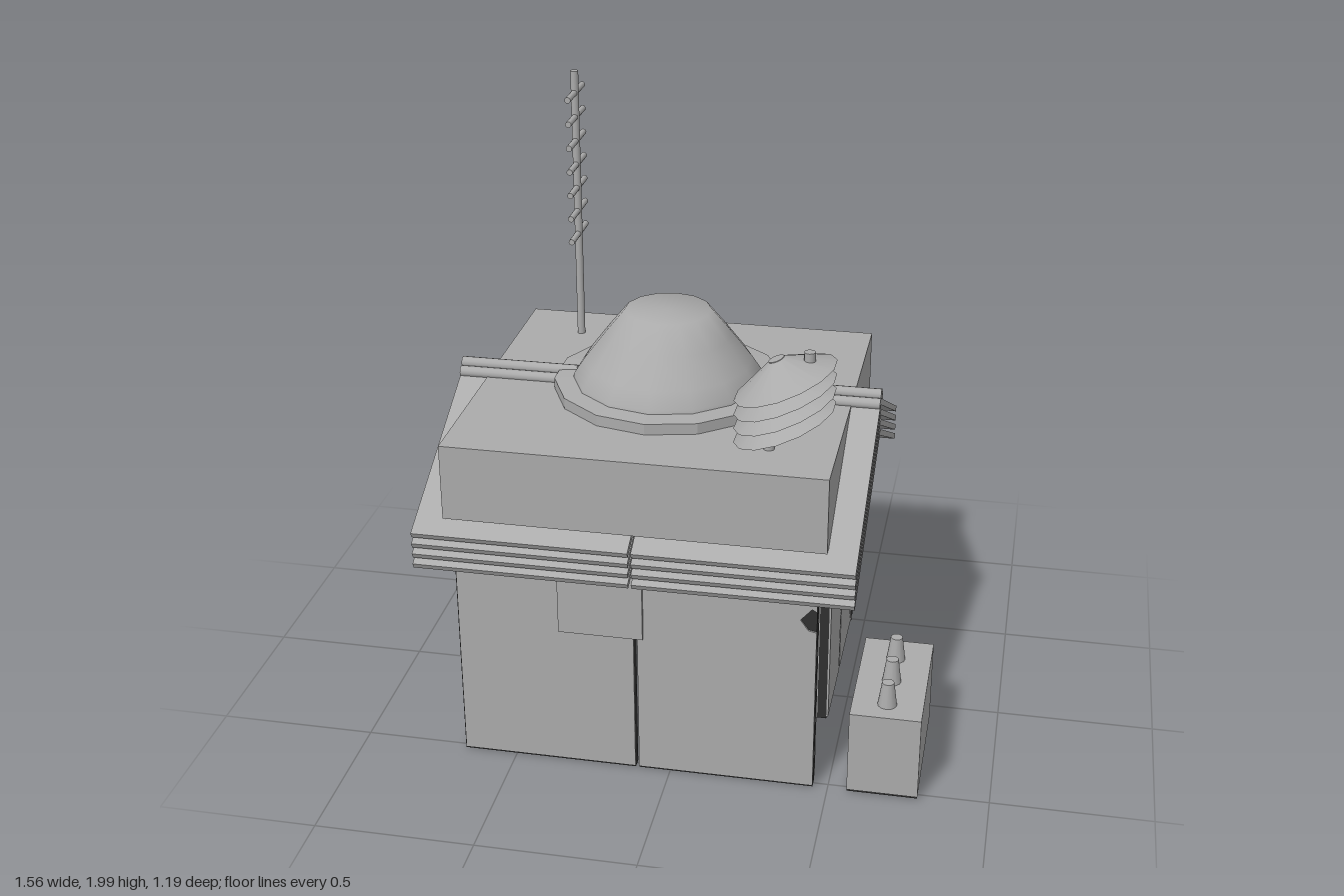
import * as THREE from 'three';

const material = (name, color) => {
  const m = new THREE.MeshStandardMaterial({ color, side: THREE.DoubleSide });
  m.name = name;
  return m;
};
const grey = material('plain grey', 0xababab);
const dark = material('dark core', 0x303030);

export function createModel() {
  const model = new THREE.Group();
  model.name = 'hut';

  const add = (name, geometry, parent = model, mat = grey) => {
    const mesh = new THREE.Mesh(geometry, mat);
    mesh.name = name;
    parent.add(mesh);
    return mesh;
  };
  // Box given by its limits on each axis
  const box = (name, x0, x1, y0, y1, z0, z1, mat = grey) =>
    add(name, new THREE.BoxGeometry(x1 - x0, y1 - y0, z1 - z0), model, mat)
      .position.set((x0 + x1) / 2, (y0 + y1) / 2, (z0 + z1) / 2);
  const rod = (name, rTop, rBottom, length, x, y, z) => {
    const mesh = add(name, new THREE.CylinderGeometry(rTop, rBottom, length, 12));
    mesh.position.set(x, y, z);
    return mesh;
  };
  const rect = (x0, x1, y0, y1) => [[x0, y0], [x1, y0], [x1, y1], [x0, y1]];
  const vectors = points => points.map(p => new THREE.Vector2(...p));

  // Wall panel in its own xy plane, outside facing +z at z = 0: dark core between two grey skins
  const panel = (name, core, outer = core, inner = core) => {
    const group = new THREE.Group();
    group.name = name;
    model.add(group);
    const layer = (part, points, depth, z, mat) => {
      const geometry = new THREE.ExtrudeGeometry(new THREE.Shape(vectors(points)), { depth, bevelEnabled: false });
      add(part, geometry, group, mat).position.z = z;
    };
    layer('outerSkin', outer, 0.006, -0.006, grey);
    layer('core', core, 0.03, -0.036, dark);
    layer('innerSkin', inner, 0.004, -0.04, grey);
    return group;
  };

  const seam = -0.105, left = 0.453, right = -0.67, wallZ = 0.525;

  // Front and back walls: two panels each, one with a chipped outer skin
  for (const s of [1, -1]) {
    // The back wall is turned round, so its own x runs the other way
    const edge = s > 0 ? left : -right;
    const gap = s * seam;
    const far = s > 0 ? right : -left;
    const chipped = [[gap + 0.006, 0.015], [edge, 0.015], [edge, 0.57], [edge - 0.025, 0.575],
      [edge - 0.05, 0.61], [edge - 0.015, 0.65], [edge, 0.64], [edge, 0.74], [gap + 0.006, 0.74]];
    const parts = [
      panel('chippedWallPanel', rect(gap + 0.006, edge, 0.008, 0.74), chipped),
      panel('wallPanel', rect(far, gap - 0.006, 0.008, 0.74), rect(far + 0.003, gap - 0.006, 0.015, 0.74)),
    ];
    for (const part of parts) {
      part.position.z = s * wallZ;
      part.rotation.y = s > 0 ? 0 : Math.PI;
    }
    const z = s * (wallZ + 0.006);
    box('wallPlate', -0.345, -0.08, 0.49, 0.745, z - 0.006, z + 0.006);
  }

  // Closed side wall following the roof, with its skins broken away at the top
  const broken = [[-0.51, 0.015], [0.51, 0.015], [0.51, 0.735], [0.37, 0.805], [0.3, 0.785],
    [0.14, 0.785], [0.06, 0.825], [-0.13, 0.845], [-0.29, 0.85], [-0.51, 0.735]];
  const side = panel('closedSideWall', [[-0.517, 0.008], [0.517, 0.008], [0.517, 0.735],
    [0.29, 0.855], [-0.29, 0.855], [-0.517, 0.735]], broken, broken);
  side.rotation.y = -Math.PI / 2;
  side.position.x = right;

  // Door side: posts and panels beside an open doorway (panel x runs towards the back)
  const doorSide = [
    panel('frontPost', rect(-0.515, -0.455, 0.008, 0.76), rect(-0.515, -0.461, 0.015, 0.76)),
    panel('backPost', rect(0.455, 0.515, 0.008, 0.76), rect(0.463, 0.515, 0.015, 0.76)),
    panel('doorSidePanel', rect(0.148, 0.455, 0.008, 0.785), rect(0.157, 0.452, 0.018, 0.778)),
    panel('doorPanel', rect(-0.14, 0.146, 0.008, 0.86), rect(-0.14, 0.142, 0.015, 0.85)),
  ];
  for (const part of doorSide) {
    part.rotation.y = Math.PI / 2;
    part.position.x = left - 0.001;
  }

  // Box loft that passes through the roof
  box('loft', -0.69, 0.48, 0.857, 1.1, -0.55, 0.55);

  // Four stacked roof sheets on each slope, split by a seam
  const slope = Math.atan(0.5);
  for (const s of [1, -1]) {
    for (const [x0, x1] of [[-0.78, seam - 0.005], [seam + 0.005, 0.57]]) {
      for (let i = 0; i < 4; i++) {
        const mesh = add('roofSheet', new THREE.BoxGeometry(x1 - x0, 0.019, 0.655));
        mesh.rotation.x = s * slope;
        mesh.position.set((x0 + x1) / 2, 0.957 - i * 0.035, s * 0.296);
      }
    }
  }

  // Ridge bars on both sides of the dome
  for (const [x0, x1] of [[-0.78, -0.4], [0.19, 0.57]]) {
    for (const [y, z] of [[1.13, 0], [1.108, 0.024], [1.108, -0.03]]) {
      rod('ridgeBar', 0.018, 0.018, x1 - x0, (x0 + x1) / 2, y, z).rotation.z = Math.PI / 2;
    }
  }

  // Smooth dome on a faceted ring
  const ring = new THREE.LatheGeometry(vectors([[0.36, 1.095], [0.36, 1.135], [0.30, 1.14],
    [0.285, 1.11]]), 14).toNonIndexed();
  ring.computeVertexNormals();
  add('domeRing', ring).position.x = seam;
  const dome = new THREE.LatheGeometry(vectors([[0.30, 1.12], [0.298, 1.15], [0.265, 1.2],
    [0.2, 1.285], [0.135, 1.365], [0, 1.365]]), 14);
  add('dome', dome).position.x = seam;

  // Mast aerial with seven crossbars
  rod('aerialMast', 0.013, 0.013, 0.9, -0.483, 1.55, -0.377);
  for (let i = 0; i < 7; i++) {
    rod('aerialBar', 0.01, 0.01, 0.19, -0.483, 1.455 + i * 0.079, -0.377).rotation.x = Math.PI / 2;
  }

  // Tilted dish of four nested cones on a short pole
  rod('dishPole', 0.017, 0.017, 0.13, 0.277, 1.145, 0.38);
  rod('dishFeed', 0.017, 0.017, 0.2, 0.392, 1.32, 0.378);
  const dish = new THREE.Group();
  dish.name = 'dish';
  dish.position.set(0.322, 1.325, 0.378);
  model.add(dish);
  for (let i = 0; i < 4; i++) {
    const cone = add('dishCone', new THREE.CylinderGeometry(0.025, 0.163, 0.07, 14, 1, true), dish);
    cone.rotation.z = 0.4;
    cone.position.set(-0.014, 0.032 - i * 0.045, 0);
    if (i === 0) {
      add('dishCap', new THREE.CylinderGeometry(0.025, 0.025, 0.008, 14), cone).position.y = 0.033;
    }
  }

  // Outdoor tank with a dark base and three tapered nozzles
  box('tank', 0.56, 0.78, 0.019, 0.295, 0.078, 0.527);
  box('tankBase', 0.561, 0.779, 0.012, 0.019, 0.079, 0.526, dark);
  for (const z of [0.185, 0.317, 0.45]) {
    rod('nozzle', 0.019, 0.03, 0.08, 0.668, 0.335, z);
  }

  return model;
}
